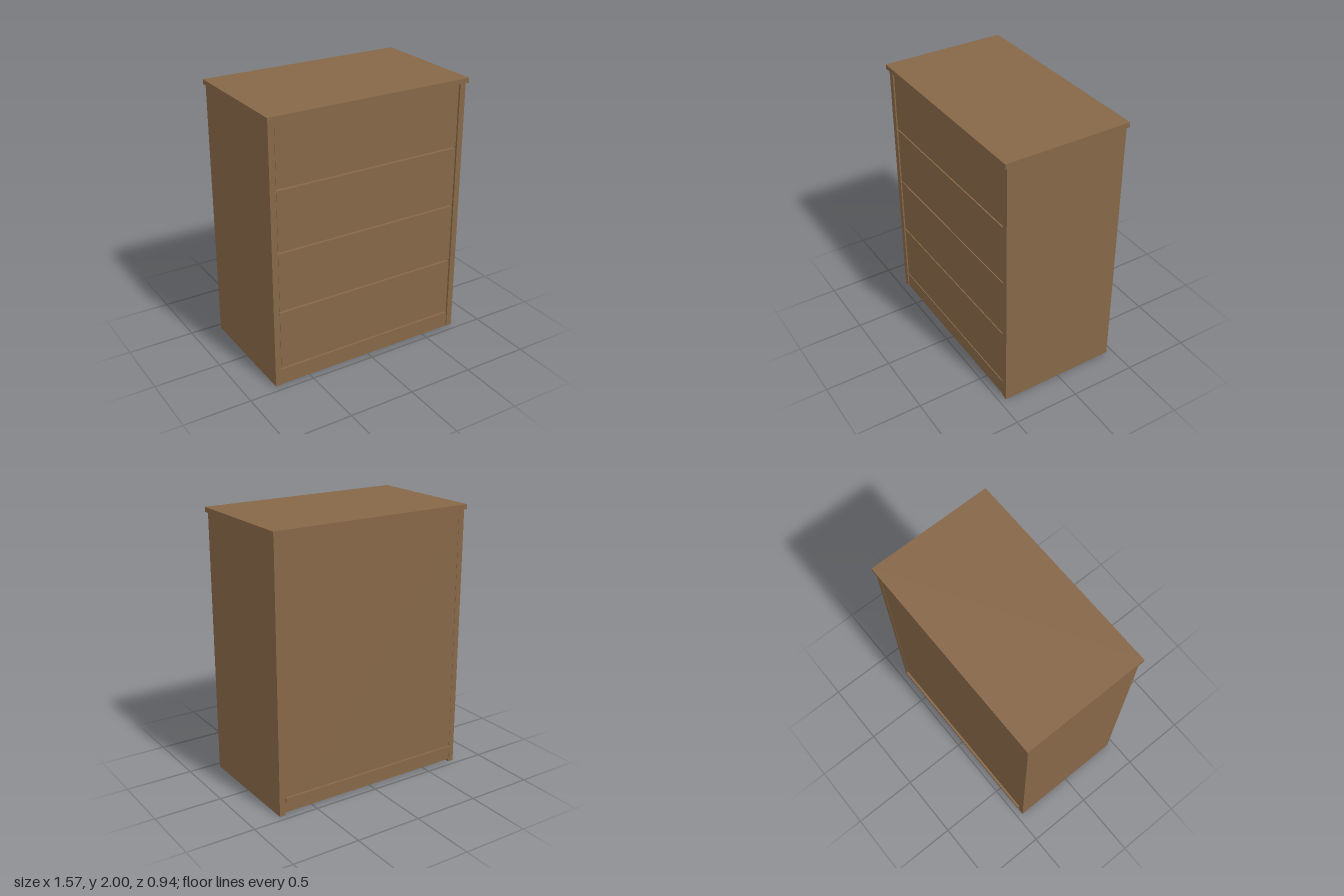
import * as THREE from 'three';

export function createModel() {
  const group = new THREE.Group();
  const wood = new THREE.MeshStandardMaterial({ color: 0x866747 });
  wood.name = 'brown wood';

  // Box given by its minimum and maximum corners
  const box = (name, [x0, y0, z0], [x1, y1, z1]) => {
    const mesh = new THREE.Mesh(new THREE.BoxGeometry(x1 - x0, y1 - y0, z1 - z0), wood);
    mesh.position.set((x0 + x1) / 2, (y0 + y1) / 2, (z0 + z1) / 2);
    mesh.name = name;
    group.add(mesh);
  };

  const inner = 0.73, outer = 0.775, front = 0.45, back = -0.455;

  // Carcass
  box('top', [-0.787, 1.965, -0.47], [0.787, 2, 0.47]);
  box('leftSide', [inner, 0, back], [outer, 1.965, front]);
  box('rightSide', [-outer, 0, back], [-inner, 1.965, front]);
  box('backPanel', [-inner, 0.02, back + 0.002], [inner, 1.965, back + 0.02]);
  box('bottomPanel', [-inner, 0.1, back + 0.02], [inner, 0.12, 0.42]);
  box('plinth', [-inner, 0, 0.41], [inner, 0.122, 0.442]);
  box('backRail', [-inner, 0.1, -0.47], [inner, 0.135, back + 0.002]);

  // Four flush drawers, each a front panel with an open box behind it
  const bottoms = [0.135, 0.591, 1.043, 1.498];
  const tops = [0.578, 1.03, 1.485, 1.957];
  bottoms.forEach((y0, i) => {
    const y1 = tops[i], n = i + 1;
    box('drawerFront' + n, [-0.724, y0, 0.408], [0.724, y1, 0.442]);
    box('drawerBottom' + n, [-0.69, y0 + 0.03, -0.4], [0.69, y0 + 0.045, 0.408]);
    box('drawerBack' + n, [-0.69, y0 + 0.045, -0.4], [0.69, y1 - 0.06, -0.38]);
    for (const s of [-1, 1]) {
      const xs = [s * 0.69, s * 0.71].sort((a, b) => a - b);
      box('drawerSide' + n, [xs[0], y0 + 0.03, -0.4], [xs[1], y1 - 0.06, 0.408]);
    }
    // Rail hidden behind the gap above each drawer
    if (i < 3) box('dividerRail' + n, [-inner, y1 - 0.02, 0.36], [inner, bottoms[n] + 0.02, 0.405]);
  });

  return group;
}
